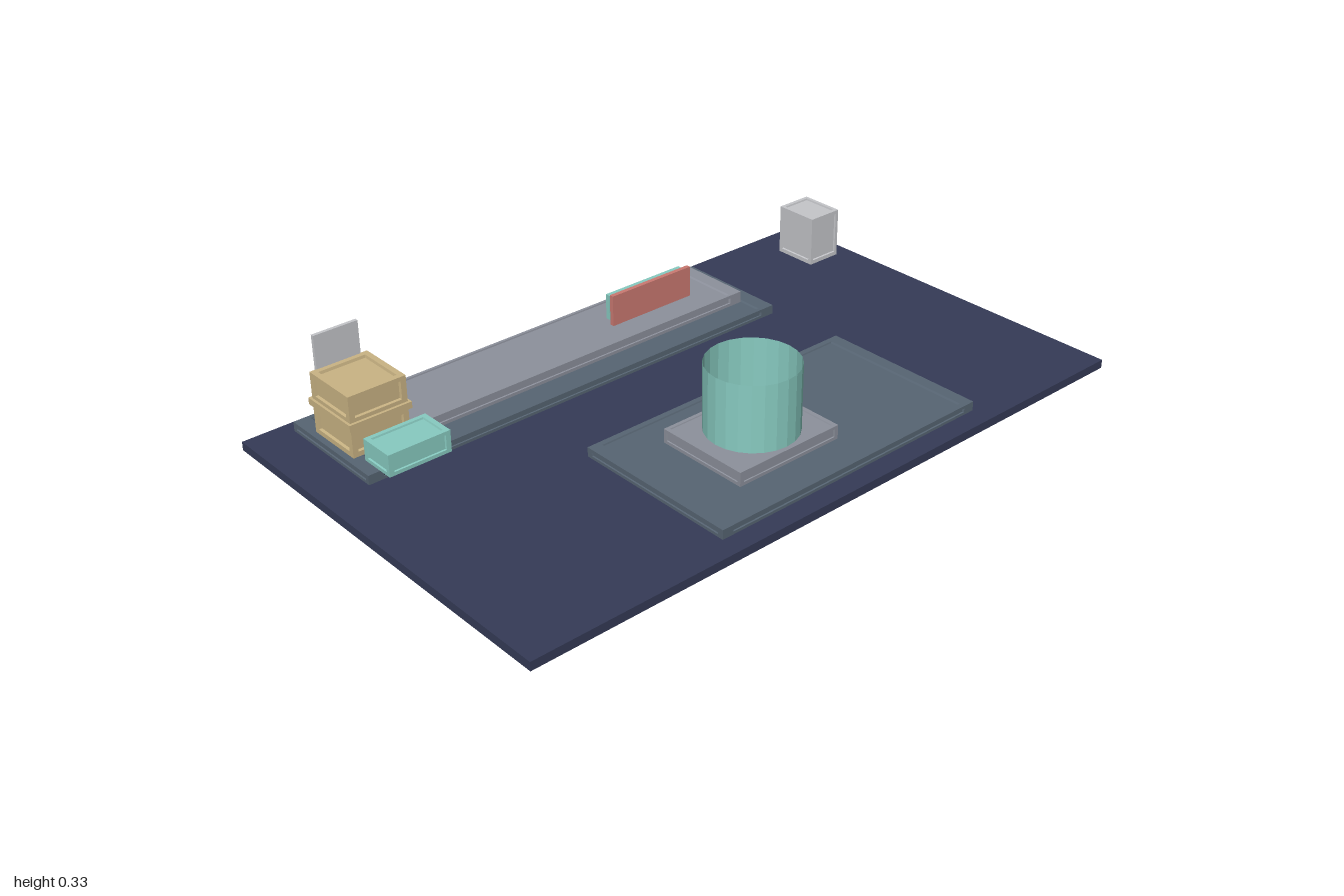
import * as THREE from 'three';

const mat = (name, color) => {
  const m = new THREE.MeshStandardMaterial({ color });
  m.name = name;
  return m;
};

// Box whose six faces carry a raised border around a slightly sunken panel.
// size and border are given per axis.
function panelBox(size, border, depth) {
  const half = size.map((s) => s / 2);
  const pos = [];
  for (let n = 0; n < 3; n++) {
    const u = (n + 1) % 3, v = (n + 2) % 3;
    for (const sign of [1, -1]) {
      const ring = (inset, sink) => [[-1, -1], [1, -1], [1, 1], [-1, 1]].map(([a, b]) => {
        const p = [0, 0, 0];
        p[n] = sign * (half[n] - sink);
        p[u] = a * (half[u] - border[u] * inset);
        p[v] = b * (half[v] - border[v] * inset);
        return p;
      });
      const quad = (a, b, c, d) => {
        const order = sign > 0 ? [a, b, c, a, c, d] : [a, c, b, a, d, c];
        order.forEach((p) => pos.push(...p));
      };
      const rings = [ring(0, 0), ring(1, 0), ring(1.1, depth)];
      for (let k = 0; k < 2; k++) {
        for (let i = 0; i < 4; i++) {
          const j = (i + 1) % 4;
          quad(rings[k][i], rings[k][j], rings[k + 1][j], rings[k + 1][i]);
        }
      }
      quad(...rings[2]);
    }
  }
  const g = new THREE.BufferGeometry();
  g.setAttribute('position', new THREE.Float32BufferAttribute(pos, 3));
  g.computeVertexNormals();
  return g;
}

export function createModel() {
  const model = new THREE.Group();
  model.name = 'yardDiorama';

  const navy = mat('navy', 0x353b57);
  const slate = mat('slate', 0x576573);
  const grey = mat('grey', 0x8d919c);
  const pale = mat('paleGrey', 0xc5c6ca);
  const teal = mat('teal', 0x88cbc1);
  const red = mat('red', 0xcb7a72);
  const tan = mat('tan', 0xcab484);

  // Boxes are placed by their [min, max] on each axis.
  function box(name, material, x, y, z, border, depth = 0.004) {
    const size = [x, y, z].map(([a, b]) => b - a);
    const geometry = border ? panelBox(size, border, depth) : new THREE.BoxGeometry(...size);
    const mesh = new THREE.Mesh(geometry, material);
    mesh.name = name;
    mesh.position.set(...[x, y, z].map(([a, b]) => (a + b) / 2));
    model.add(mesh);
    return mesh;
  }

  // Ground and the two platforms
  box('ground', navy, [-1, 1], [0, 0.025], [-0.605, 0.605]);
  box('rearPlatform', slate, [-0.875, 0.51], [0.03, 0.057], [-0.555, -0.205], [0.045, 0.008, 0.012]);
  box('frontPlatform', slate, [-0.39, 0.51], [0.03, 0.057], [0.05, 0.55], [0.035, 0.008, 0.016]);

  // Slabs on the platforms
  box('rearSlab', grey, [-0.81, 0.445], [0.064, 0.098], [-0.493, -0.272], [0.04, 0.009, 0.008]);
  box('frontSlab', grey, [-0.235, 0.105], [0.06, 0.1], [0.165, 0.445], [0.012, 0.009, 0.01], 0.003);

  // Open drum
  const tealOpen = teal;
  tealOpen.side = THREE.DoubleSide;
  tealOpen.flatShading = true;
  const drum = new THREE.Mesh(new THREE.CylinderGeometry(0.126, 0.126, 0.19, 24, 1, true), tealOpen);
  drum.name = 'drum';
  drum.position.set(-0.063, 0.193, 0.305);
  model.add(drum);

  // Switch plate beside the drum
  box('switchPlate', teal, [0.123, 0.143], [0.065, 0.177], [0.127, 0.24], [0.004, 0.01, 0.01], 0.003);
  box('switchButton', red, [0.1, 0.165], [0.087, 0.155], [0.148, 0.218], [0.007, 0.007, 0.007], 0.003);

  // Two-layer sign on the rear slab
  box('signFront', red, [0.035, 0.322], [0.095, 0.187], [-0.369, -0.356]);
  box('signBack', teal, [0.042, 0.312], [0.103, 0.178], [-0.395, -0.38]);

  // Banded crate with a back panel
  box('crateLower', tan, [-0.86, -0.69], [0.06, 0.142], [-0.468, -0.293], [0.016, 0.014, 0.016], 0.008);
  box('crateBand', tan, [-0.867, -0.683], [0.141, 0.16], [-0.476, -0.285]);
  box('crateUpper', tan, [-0.86, -0.69], [0.159, 0.235], [-0.468, -0.293], [0.016, 0.012, 0.016], 0.008);
  box('cratePanel', pale, [-0.84, -0.71], [0.21, 0.33], [-0.476, -0.466]);

  // Small chest and the lone cabinet
  box('chest', teal, [-0.867, -0.685], [0.09, 0.152], [-0.225, -0.117], [0.014, 0.01, 0.012], 0.005);
  box('cabinet', pale, [0.778, 0.89], [0.062, 0.211], [-0.449, -0.314], [0.01, 0.012, 0.011], 0.005);

  return model;
}
